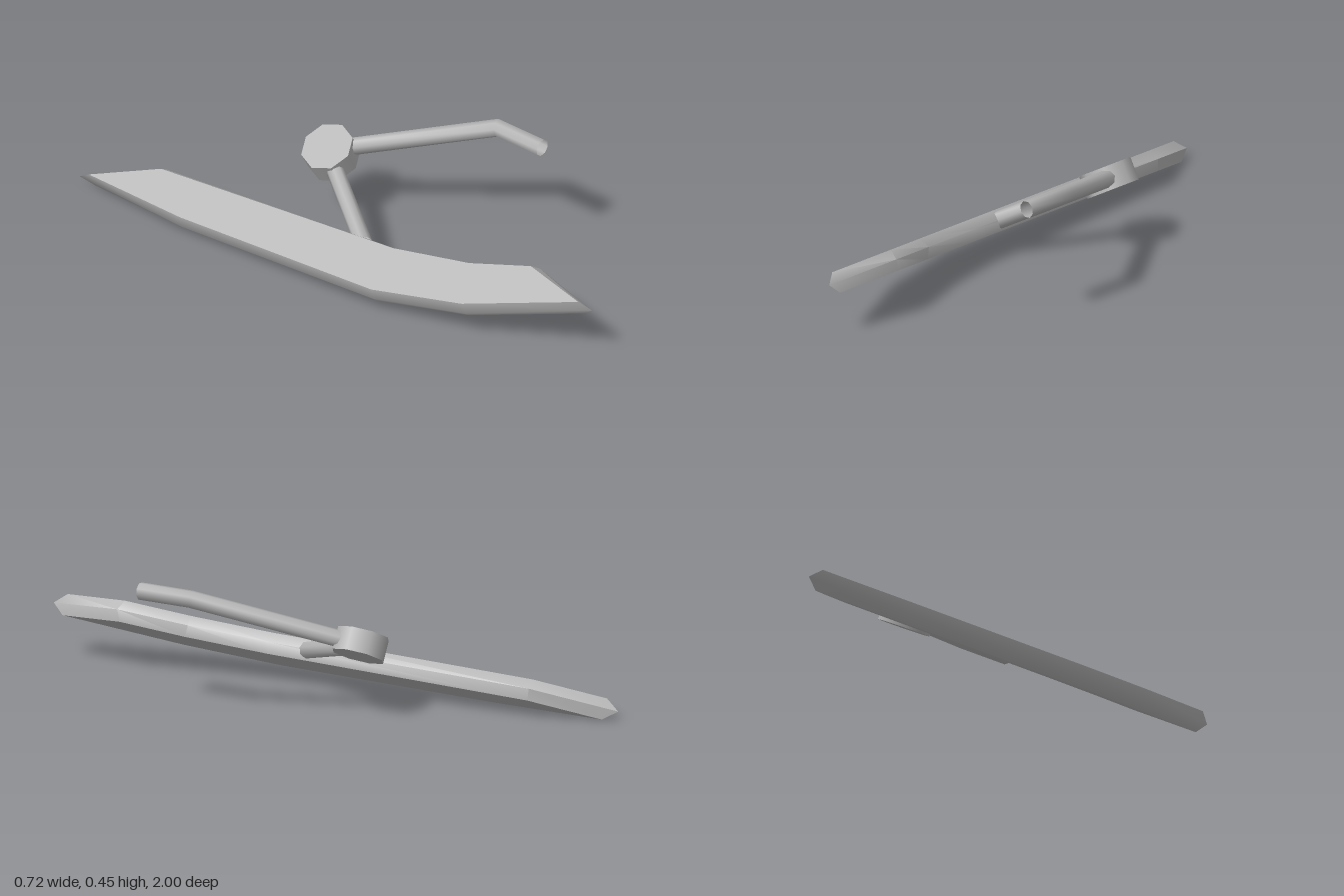
import * as THREE from 'three';
import { toCreasedNormals } from 'three/addons/utils/BufferGeometryUtils.js';

const MID = 0.2; // height of the shared mid-plane before tilting

function makeGeometry(positions, indices) {
  const g = new THREE.BufferGeometry();
  g.setAttribute('position', new THREE.Float32BufferAttribute(positions, 3));
  g.setIndex(indices);
  g.computeVertexNormals();
  return g;
}

// Open eight-sided tube along a flat [x, z] path, mitred at its bends
function rod(path, radius = 0.03, sides = 8) {
  const pts = path.map(p => new THREE.Vector2(...p));
  const pos = [], idx = [];
  pts.forEach((p, i) => {
    const before = pts[Math.max(i - 1, 0)], after = pts[Math.min(i + 1, pts.length - 1)];
    const d1 = (i > 0 ? p.clone().sub(before) : after.clone().sub(p)).normalize();
    const d2 = (i < pts.length - 1 ? after.clone().sub(p) : d1.clone()).normalize();
    const t = d1.clone().add(d2).normalize();
    const mitre = radius / t.dot(d1);
    for (let j = 0; j < sides; j++) {
      const a = j / sides * Math.PI * 2;
      const s = Math.cos(a) * mitre;
      pos.push(p.x + t.y * s, MID + Math.sin(a) * radius, p.y - t.x * s);
      if (i < pts.length - 1) {
        const k = (j + 1) % sides, r = i * sides;
        idx.push(r + j, r + k, r + sides + k, r + j, r + sides + k, r + sides + j);
      }
    }
  });
  return makeGeometry(pos, idx);
}

// Flat plate whose side walls swell out to a ridge at mid thickness
function bladeGeometry() {
  const ridge = [[-0.283, -1], [-0.133, -0.73], [-0.05, 0.22], [0.015, 0.5], [0.098, 0.73],
    [0.04, 1], [-0.158, 0.59], [-0.246, 0.25], [-0.296, -0.55]];
  const face = [[-0.277, -0.95], [-0.152, -0.725], [-0.066, 0.225], [-0.002, 0.51], [0.079, 0.72],
    [0.033, 0.96], [-0.145, 0.58], [-0.232, 0.25], [-0.281, -0.55]];
  const n = ridge.length, pos = [], idx = [];
  [[face, -0.037], [ridge, 0], [face, 0.037]].forEach(([loop, h]) =>
    loop.forEach(([x, z]) => pos.push(x, MID + h, z)));
  for (let i = 0; i < 2; i++) {
    for (let j = 0; j < n; j++) {
      const a = i * n + j, b = i * n + (j + 1) % n;
      idx.push(a, a + n, b + n, a, b + n, b);
    }
  }
  const tris = THREE.ShapeUtils.triangulateShape(face.map(p => new THREE.Vector2(...p)), []);
  for (const [a, b, c] of tris) idx.push(a, b, c, 2 * n + a, 2 * n + c, 2 * n + b);
  return toCreasedNormals(makeGeometry(pos, idx), 0.95);
}

export function createModel() {
  const model = new THREE.Group();
  model.name = 'bladeAndCrank';
  const grey = new THREE.MeshStandardMaterial({ color: 0xb3b3b3, side: THREE.DoubleSide });
  grey.name = 'grey';

  // All parts share one plane, tilted sideways
  const tilted = new THREE.Group();
  tilted.name = 'tiltedAssembly';
  tilted.rotation.z = Math.PI / 6;
  model.add(tilted);

  const add = (name, geometry) => {
    const mesh = new THREE.Mesh(geometry, grey);
    mesh.name = name;
    tilted.add(mesh);
  };

  add('blade', bladeGeometry());
  add('hub', new THREE.CylinderGeometry(0.092, 0.092, 0.08, 8).translate(0.164, MID, -0.23));
  add('bladeArm', rod([[0.12, -0.185], [-0.08, 0.09]]));
  add('bentHandle', rod([[0.205, -0.19], [0.491, 0.262], [0.491, 0.455]]));

  return model;
}
